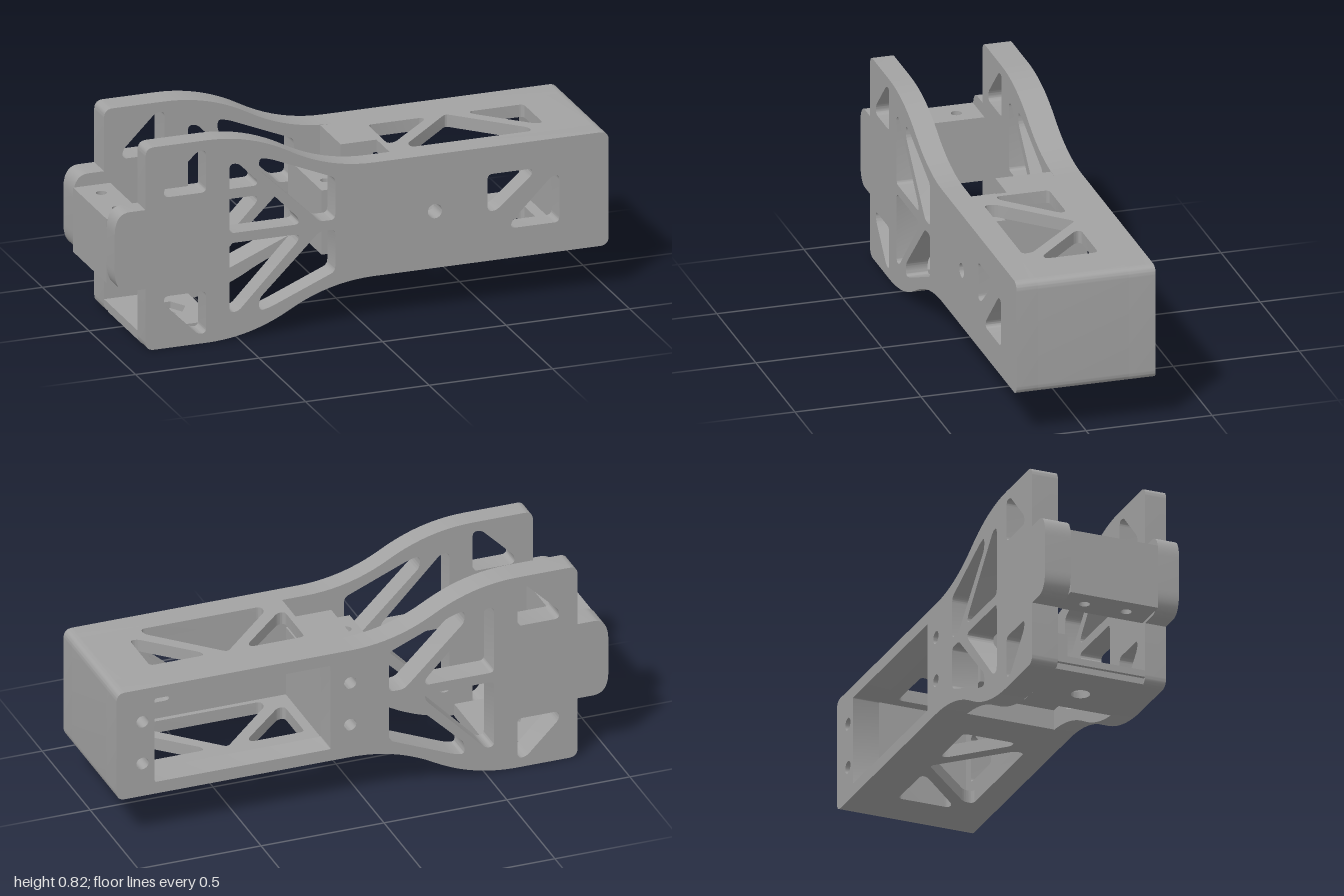
import * as THREE from 'three';
import { toCreasedNormals } from 'three/addons/utils/BufferGeometryUtils.js';

const MID = 0.41;                      // height of the symmetry plane
const BACK = -0.17, FRONT = 0.19;      // inner faces of the two side plates
const HALF = 0.276;                    // half of the full depth

// Closed path from [x, y, cornerSize] points with rounded corners
function rounded(points, size = 0.02, Type = THREE.Path) {
  const path = new Type();
  const n = points.length;
  points.forEach((p, i) => {
    const c = new THREE.Vector2(p[0], p[1]);
    const a = new THREE.Vector2(...points[(i + n - 1) % n].slice(0, 2)).sub(c);
    const b = new THREE.Vector2(...points[(i + 1) % n].slice(0, 2)).sub(c);
    const d = p[2] ?? size;
    const s = a.setLength(Math.min(d, a.length() * 0.49)).add(c);
    const e = b.setLength(Math.min(d, b.length() * 0.49)).add(c);
    if (i === 0) path.moveTo(s.x, s.y); else path.lineTo(s.x, s.y);
    if (d > 0) path.quadraticCurveTo(c.x, c.y, e.x, e.y);
  });
  path.closePath();
  return path;
}
const rect = (x0, x1, y0, y1) => [[x0, y0], [x1, y0], [x1, y1], [x0, y1]];
const flip = (pts) => pts.map(([x, y, d]) => [x, 2 * MID - y, d]).reverse();
const circle = (x, y, r) => new THREE.Path().absarc(x, y, r, 0, Math.PI * 2);

export function createModel() {
  const model = new THREE.Group();
  const grey = new THREE.MeshStandardMaterial({ color: 0xa2a2a2 });
  grey.name = 'grey plastic';

  function extrude(name, shape, holes, depth) {
    shape.holes.push(...holes);
    const geo = new THREE.ExtrudeGeometry(shape, { depth, bevelEnabled: false, curveSegments: 10 });
    const mesh = new THREE.Mesh(geo, grey);
    mesh.name = name;
    model.add(mesh);
    return geo;
  }
  // Profile in x/y, swept from z0 to z1
  function across(name, pts, holes, z0, z1, size = 0) {
    const geo = extrude(name, rounded(pts, size, THREE.Shape), holes, z1 - z0).translate(0, 0, z0);
    model.children.at(-1).geometry = toCreasedNormals(geo, 0.5);
  }
  // Profile in x/z, swept from y0 to y1
  function upright(name, pts, holes, y0, y1) {
    const geo = extrude(name, rounded(pts, 0, THREE.Shape), holes, y1 - y0);
    geo.rotateX(Math.PI / 2).translate(0, y1, 0);
    model.children.at(-1).geometry = toCreasedNormals(geo, 0.5);
  }

  // Side plates: wide fork, S-curve, narrow box section, end tab
  const upper = [
    [1, 0.64, 0.035], [-0.13, 0.64, 0.18], [-0.45, 0.82, 0.18],
    [-0.875, 0.82, 0.035], [-0.875, 0.57, 0], [-1, 0.57, 0.09],
  ];
  const outline = [...upper, ...flip(upper)];
  const forkHoles = [
    [[-0.8, 0.61], [-0.63, 0.61], [-0.63, 0.78], [-0.665, 0.78], [-0.8, 0.645]],
    [[-0.535, 0.43], [-0.255, 0.43], [-0.255, 0.455], [-0.5, 0.71], [-0.535, 0.71]],
    [[-0.415, 0.67], [-0.415, 0.72], [-0.37, 0.71], [-0.107, 0.6], [-0.107, 0.43], [-0.17, 0.43]],
  ];
  const truss = () => forkHoles.flatMap((h) => [rounded(h), rounded(flip(h))]);

  across('frontPlate', outline, [
    ...truss(),
    circle(0.297, MID, 0.029),
    rounded([[0.51, 0.53], [0.69, 0.53], [0.69, 0.505], [0.545, 0.38], [0.51, 0.38]]),
    rounded([[0.8, 0.49], [0.77, 0.49], [0.605, 0.325], [0.605, 0.3], [0.8, 0.3]]),
  ], FRONT, HALF);

  const screws = [0.05, 0.895].flatMap((x) => [-0.09, 0.09].map((d) => circle(x, MID + d, 0.025)));
  across('backPlate', outline, [
    ...truss(),
    ...screws,
    rounded(rect(0.13, 0.845, 0.23, 0.59), 0.006),
  ], -HALF, BACK);

  // End wall of the box section with rounded outer corners
  across('endWall', [[0.845, 0.18], [1, 0.18, 0.035], [1, 0.64, 0.035], [0.845, 0.64]], [], BACK, FRONT);

  // Top and bottom walls with triangular cutouts
  const side = [[0.17, -0.11], [0.39, -0.11], [0.39, -0.085], [0.2, 0.1], [0.17, 0.1]];
  const wallHoles = () => [
    rounded(side),
    rounded(side.map(([x, z]) => [0.97 - x, z]).reverse()),
    rounded([[0.485, -0.115], [0.73, 0.13], [0.73, 0.17], [0.24, 0.17], [0.24, 0.13]]),
  ];
  upright('topWall', [[0.13, BACK], [0.845, BACK], [0.845, FRONT], [0.145, FRONT], [0.145, 0.05], [0.13, 0.05]],
    wallHoles(), 0.59, 0.64);
  upright('bottomWall', rect(0.13, 0.845, BACK, FRONT), wallHoles(), 0.18, 0.23);

  // Dividing wall with a cable notch in its top
  upright('dividingWall', rect(0, 0.13, BACK, FRONT), [], 0.18, 0.52);
  upright('dividingWallTop', rect(0, 0.13, BACK, 0.05), [], 0.52, 0.64);

  // Mounting blocks with two screw holes each
  for (const [name, x0, x1, hx] of [['endMount', -1, -0.85, -0.92], ['middleMount', -0.13, 0, -0.077]]) {
    upright(name, rect(x0, x1, BACK, FRONT),
      [circle(hx, -0.08, 0.021), circle(hx, 0.092, 0.021)], 0.26, 0.52);
  }

  // Fork floor: round hole below, hexagonal nut recess above
  const hex = Array.from({ length: 6 }, (_, i) => {
    const a = (i * Math.PI) / 3;
    return [-0.685 + 0.073 * Math.cos(a), 0.005 + 0.073 * Math.sin(a)];
  });
  upright('forkFloor', rect(-0.86, -0.555, BACK, FRONT), [circle(-0.685, 0.005, 0.037)], 0, 0.025);
  upright('nutRecess', rect(-0.875, -0.555, BACK, FRONT), [rounded(hex, 0)], 0.025, 0.052);

  return model;
}
